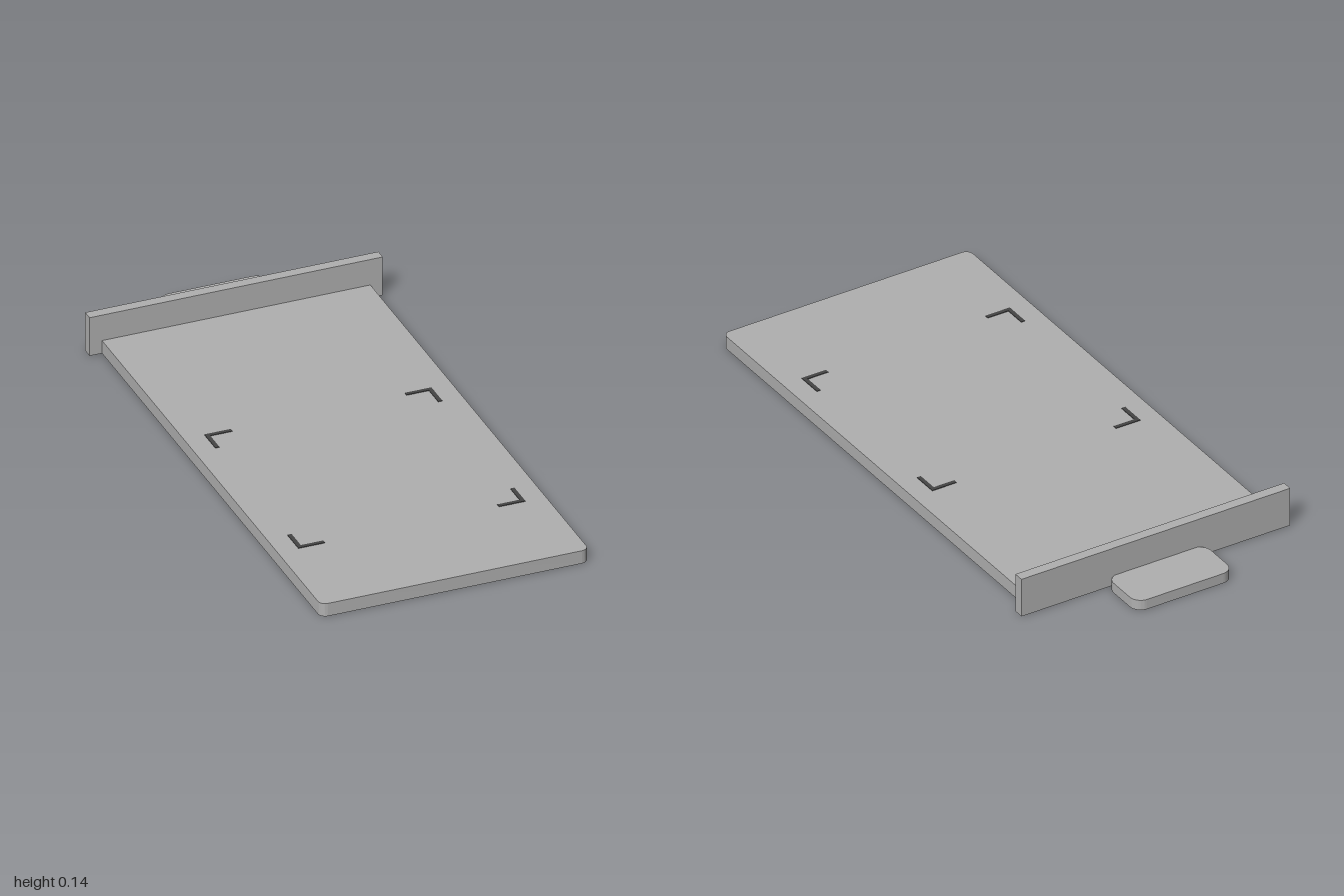
import * as THREE from 'three';
import { toCreasedNormals } from 'three/addons/utils/BufferGeometryUtils.js';

// Horizontal slab standing on y = 0, with separate radii for front (+z) and back corners
function slab(halfW, zBack, zFront, height, rFront, rBack) {
  const s = new THREE.Shape();
  const f = -zFront, b = -zBack; // shape y becomes -z
  s.moveTo(-halfW + rFront, f);
  s.lineTo(halfW - rFront, f);
  s.absarc(halfW - rFront, f + rFront, rFront, -Math.PI / 2, 0);
  s.lineTo(halfW, b - rBack);
  if (rBack) s.absarc(halfW - rBack, b - rBack, rBack, 0, Math.PI / 2);
  s.lineTo(-halfW + rBack, b);
  if (rBack) s.absarc(-halfW + rBack, b - rBack, rBack, Math.PI / 2, Math.PI);
  s.lineTo(-halfW, f + rFront);
  s.absarc(-halfW + rFront, f + rFront, rFront, Math.PI, Math.PI * 1.5);
  const g = new THREE.ExtrudeGeometry(s, { depth: height, bevelEnabled: false, curveSegments: 8 });
  g.rotateX(-Math.PI / 2);
  return toCreasedNormals(g, 0.6);
}

export function createModel() {
  const model = new THREE.Group();
  model.name = 'slidingTray';
  const grey = new THREE.MeshStandardMaterial({ color: 0xb0b0b0 });
  grey.name = 'light grey';
  const dark = new THREE.MeshStandardMaterial({ color: 0x444444 });
  dark.name = 'dark grey';

  const add = (name, geometry, material, parent = model) => {
    const mesh = new THREE.Mesh(geometry, material);
    mesh.name = name;
    parent.add(mesh);
    return mesh;
  };

  // Long flat tray
  const trayTop = 0.046;
  add('tray', slab(0.455, -0.795, 1, trayTop, 0.025, 0), grey);

  // Upright plate across the back
  add('endPlate', new THREE.BoxGeometry(0.994, 0.138, 0.036), grey)
    .position.set(0, 0.069, -0.809);

  // Rounded pull tab behind the plate
  add('pullTab', slab(0.18, -1, -0.825, 0.036, 0.04, 0.04), grey);

  // Four L-shaped corner marks on the tray
  const arm = 0.09, w = 0.014, half = 0.385, centreZ = 0.262;
  for (const sx of [-1, 1]) {
    for (const sz of [-1, 1]) {
      const mark = new THREE.Group();
      mark.name = 'cornerMark';
      mark.position.set(sx * half, trayTop + 0.001, centreZ + sz * half);
      add('markAcross', new THREE.BoxGeometry(arm, 0.002, w), dark, mark)
        .position.set(-sx * arm / 2, 0, -sz * w / 2);
      add('markAlong', new THREE.BoxGeometry(w, 0.002, arm - w), dark, mark)
        .position.set(-sx * w / 2, 0, -sz * (arm + w) / 2);
      model.add(mark);
    }
  }
  return model;
}
